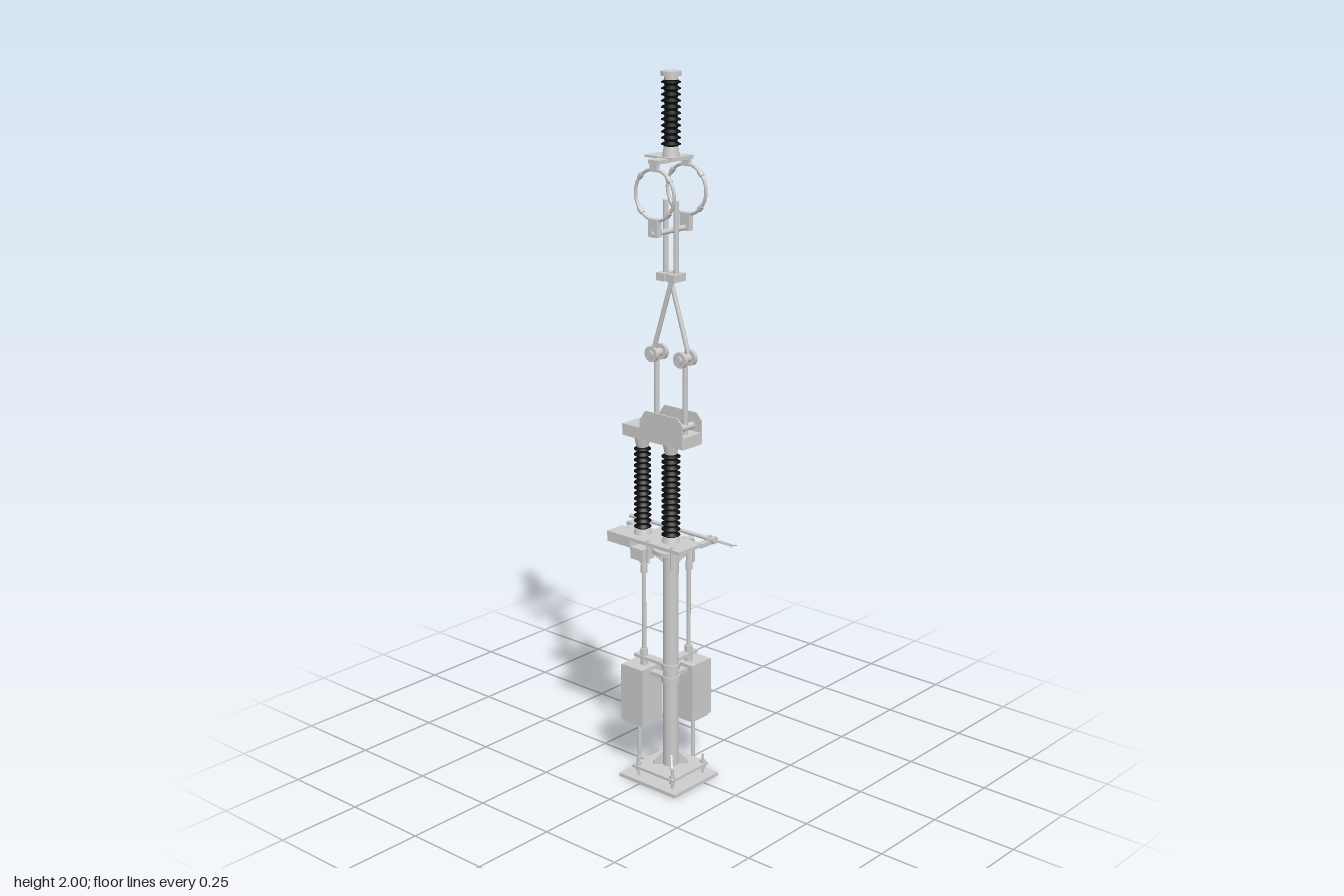
import * as THREE from 'three';

const grey = new THREE.MeshStandardMaterial({ color: 0xcccccc, side: THREE.DoubleSide });
const black = new THREE.MeshStandardMaterial({ color: 0x0c0c0c });
const CX = -0.033, CZ = 0.037, REAR = -0.067; // main column axis, rear insulator z

export function createModel() {
  const root = new THREE.Group();
  const add = (name, geo, mat = grey) => {
    const m = new THREE.Mesh(geo, mat);
    m.name = name;
    root.add(m);
    return m;
  };
  // box given by its limits
  const box = (name, x0, x1, y0, y1, z0, z1) =>
    add(name, new THREE.BoxGeometry(x1 - x0, y1 - y0, z1 - z0)
      .translate((x0 + x1) / 2, (y0 + y1) / 2, (z0 + z1) / 2));
  // round bar between two points
  const rod = (name, a, b, r, r2 = r, sides = 16) => {
    const p = new THREE.Vector3(...a), q = new THREE.Vector3(...b), d = q.clone().sub(p);
    const m = add(name, new THREE.CylinderGeometry(r2, r, d.length(), sides));
    m.position.copy(p).add(q).multiplyScalar(0.5);
    m.quaternion.setFromUnitVectors(new THREE.Vector3(0, 1, 0), d.normalize());
    return m;
  };
  const post = (name, x, z, y0, y1, r, r2 = r, sides = 20) => rod(name, [x, y0, z], [x, y1, z], r, r2, sides);

  // ribbed insulator with metal end fittings
  const insulator = (z, y0, y1, r, sheds) => {
    const pts = [new THREE.Vector2(0, y0)], step = (y1 - y0) / sheds;
    for (let i = 0; i < sheds; i++) {
      const y = y0 + i * step;
      pts.push(new THREE.Vector2(r * 0.66, y), new THREE.Vector2(r * 0.7, y + step * 0.25),
        new THREE.Vector2(r, y + step * 0.38), new THREE.Vector2(r, y + step * 0.52),
        new THREE.Vector2(r * 0.66, y + step * 0.85));
    }
    pts.push(new THREE.Vector2(0, y1));
    add('insulator', new THREE.LatheGeometry(pts, 28).translate(CX, 0, z), black);
  };

  // base plate, levelling plate and anchor bolts
  box('basePlate', -0.127, 0.062, 0, 0.01, -0.075, 0.134);
  box('levellingPlate', -0.11, 0.044, 0.034, 0.042, -0.04, 0.112);
  for (const sx of [-1, 1]) for (const sz of [-1, 1]) {
    const x = CX + sx * 0.066, z = CZ + sz * 0.064;
    post('anchorBolt', x, z, 0.008, 0.068, 0.004, 0.004, 8);
    post('anchorNut', x, z, 0.042, 0.05, 0.008, 0.008, 6);
    post('anchorNut', x, z, 0.025, 0.034, 0.008, 0.008, 6);
  }

  // column with gussets at foot and head
  post('column', CX, CZ, 0.01, 0.7, 0.022, 0.022, 28);
  const gusset = (y, up) => {
    for (let i = 0; i < 4; i++) {
      const s = new THREE.Shape([[0.018, 0], [0.05, 0], [0.05, up * 0.008], [0.022, up * 0.035], [0.018, up * 0.035]]
        .map(p => new THREE.Vector2(...p)));
      add('gusset', new THREE.ExtrudeGeometry(s, { depth: 0.006, bevelEnabled: false })
        .translate(0, 0, -0.003).rotateY(i * Math.PI / 2 + Math.PI / 4).translate(CX, y, CZ));
    }
  };
  gusset(0.042, 1);
  gusset(0.69, -1);
  post('columnFlange', CX, CZ, 0.685, 0.697, 0.05, 0.05, 28);
  for (const sx of [-1, 1]) for (const sz of [-1, 1])
    post('flangeBolt', CX + sx * 0.046, CZ + sz * 0.043, 0.655, 0.722, 0.004, 0.004, 8);

  // platform and the rear bearing below it
  box('platform', -0.084, 0.014, 0.706, 0.716, -0.14, 0.112);
  box('rearHousing', -0.064, -0.003, 0.676, 0.706, -0.174, -0.09);
  box('rearBearing', -0.058, -0.008, 0.642, 0.676, -0.092, -0.046);
  box('linkArm', -0.04, -0.026, 0.692, 0.702, -0.12, 0.02);

  // three insulators
  insulator(CZ, 0.73, 0.972, 0.026, 15);
  insulator(REAR, 0.73, 0.972, 0.024, 15);
  insulator(CZ, 1.805, 1.98, 0.026, 11);
  for (const z of [CZ, REAR]) {
    post('lowerFitting', CX, z, 0.714, 0.732, 0.026, 0.021, 24);
    post('upperFitting', CX, z, 0.97, 1.005, 0.017, 0.024, 24);
  }
  post('hangerFitting', CX, CZ, 1.775, 1.807, 0.024, 0.019, 24);
  post('topFitting', CX, CZ, 1.978, 1.992, 0.018, 0.018, 24);
  post('topCap', CX, CZ, 1.988, 2, 0.027, 0.027, 28);

  // drive cabinets with doors, conduits, drive shafts and column brackets
  box('sideCabinet', 0.042, 0.113, 0.147, 0.322, -0.032, 0.053);
  box('sideCabinetDoor', 0.113, 0.127, 0.15, 0.319, -0.03, 0.051);
  box('rearCabinet', -0.076, 0.009, 0.147, 0.322, -0.102, -0.032);
  box('rearCabinetDoor', -0.074, 0.007, 0.15, 0.319, -0.116, -0.102);
  post('sideConduit', 0.09, 0.015, 0, 0.15, 0.006);
  post('rearConduit', CX, -0.083, 0, 0.15, 0.006);
  const shaft = (x, z, top) => {
    post('shaftSocket', x, z, 0.32, 0.37, 0.011);
    post('driveShaft', x, z, 0.35, top, 0.006);
    post('shaftCoupling', x, z, 0.6, 0.625, 0.01);
    post('shaftHead', x, z, 0.625, top, 0.008);
    post('shaftJoint', x, z, top - 0.014, top, 0.013);
  };
  shaft(0.069, 0.015, 0.69);
  shaft(CX, -0.063, 0.645);
  box('sideBracket', -0.02, 0.095, 0.341, 0.35, 0.003, 0.027);
  box('rearBracket', -0.045, -0.021, 0.341, 0.35, -0.092, 0.03);
  box('sideCabinetMount', -0.015, 0.045, 0.3, 0.312, 0.012, 0.034);
  box('rearCabinetMount', -0.044, -0.022, 0.3, 0.312, -0.035, 0.02);
  post('columnClamp', CX, CZ, 0.295, 0.317, 0.026, 0.026, 28);
  post('columnClamp', CX, CZ, 0.337, 0.354, 0.026, 0.026, 28);

  // earthing switch: swinging tube with forked tip, bearings and crank
  rod('earthingTube', [0.056, 0.715, -0.195], [0.056, 0.715, 0.12], 0.0055);
  for (const z of [-0.053, 0.1, 0.119])
    rod('tubeCollar', [0.056, 0.715, z - 0.004], [0.056, 0.715, z + 0.004], 0.011);
  for (const s of [-1, 1]) {
    rod('contactFinger', [0.056 + s * 0.004, 0.715, 0.12], [0.056 + s * 0.004, 0.715, 0.182], 0.0022, 0.0022, 8);
    rod('fingerTip', [0.056 + s * 0.004, 0.715, 0.182], [0.056 + s * 0.011, 0.715, 0.19], 0.0022, 0.0022, 8);
  }
  box('counterweight', 0.018, 0.075, 0.7, 0.712, -0.175, -0.15);
  box('counterweightBlock', 0.047, 0.065, 0.668, 0.727, -0.168, -0.155);
  box('frontBearing', 0.012, 0.074, 0.7, 0.712, 0.09, 0.11);
  box('rearTubeBearing', 0.01, 0.068, 0.698, 0.71, -0.075, -0.03);
  post('crankDisc', 0.07, 0.012, 0.688, 0.696, 0.016);
  rod('crankLink', [0.07, 0.697, 0.012], [0.03, 0.697, -0.03], 0.005);

  // gear housing on top of the supports, with two shaped side plates
  box('gearHousing', -0.07, 0.004, 1.003, 1.036, -0.108, 0.113);
  const plate = new THREE.Shape([[0.113, 1.005], [0.113, 1.07], [0.095, 1.089], [-0.02, 1.089], [-0.04, 1.06], [-0.04, 1.005]]
    .map(([z, y]) => new THREE.Vector2(-z, y)));
  for (const x of [-0.074, 0.004])
    add('sidePlate', new THREE.ExtrudeGeometry(plate, { depth: 0.004, bevelEnabled: false }).rotateY(Math.PI / 2).translate(x, 0, 0));

  // fixed earthing contact beside the housing
  box('contactArm', 0, 0.068, 1.024, 1.036, -0.04, -0.024);
  box('contactBlock', 0.048, 0.068, 1.015, 1.042, -0.044, -0.02);
  rod('contactDrop', [0.056, 1.02, -0.032], [0.056, 0.988, -0.032], 0.005);
  rod('contactTip', [0.044, 0.99, -0.032], [0.064, 0.99, -0.032], 0.005);

  // scissor arms: s = 1 is the front arm, s = -1 the rear arm
  for (const s of [-1, 1]) {
    const z = CZ + s * 0.051, x = CX + s * 0.016, zt = CZ - s * 0.018;
    post('lowerArm', CX, z, 1.03, 1.245, 0.0075);
    rod('armPivot', [-0.062, 1.055, z], [-0.004, 1.055, z], 0.01);
    rod('elbowHub', [-0.064, 1.245, z], [-0.003, 1.245, z], 0.011);
    for (const t of [-1, 1])
      rod('elbowDisc', [CX + t * 0.014, 1.245, z], [CX + t * 0.025, 1.245, z], 0.022, 0.022, 24);
    rod('upperArm', [x, 1.245, z], [x, 1.46, zt], 0.0065);
    box('armClamp', CX - 0.024, CX + 0.024, 1.451, 1.472, zt - 0.014, zt + 0.014);
    post('contactRod', CX, zt, 1.455, 1.665, 0.0075);
  }

  // hanging counter contact: crossbar, two rings and lower contact bar
  box('crossbar', -0.102, 0.036, 1.768, 1.778, 0.019, 0.055);
  box('terminalPlate', -0.062, -0.004, 1.775, 1.781, -0.03, 0.066);
  for (const x of [-0.097, 0.029]) {
    add('ring', new THREE.TorusGeometry(0.067, 0.0045, 10, 56).rotateY(Math.PI / 2).translate(x, 1.687, CZ));
    box('ringHanger', x - 0.006, x + 0.006, 1.748, 1.77, CZ - 0.012, CZ + 0.012);
    box('ringFoot', x - 0.009, x + 0.009, 1.577, 1.625, CZ - 0.016, CZ + 0.016);
    // sleeves around the ring
    for (const a of [0.75, 2.39, 3.89, 5.53]) {
      const at = t => [x, 1.687 + 0.067 * Math.sin(t), CZ + 0.067 * Math.cos(t)];
      rod('ringSleeve', at(a - 0.12), at(a + 0.12), 0.007);
    }
  }
  rod('contactBar', [-0.113, 1.585, CZ], [0.042, 1.585, CZ], 0.0075);

  return root;
}
